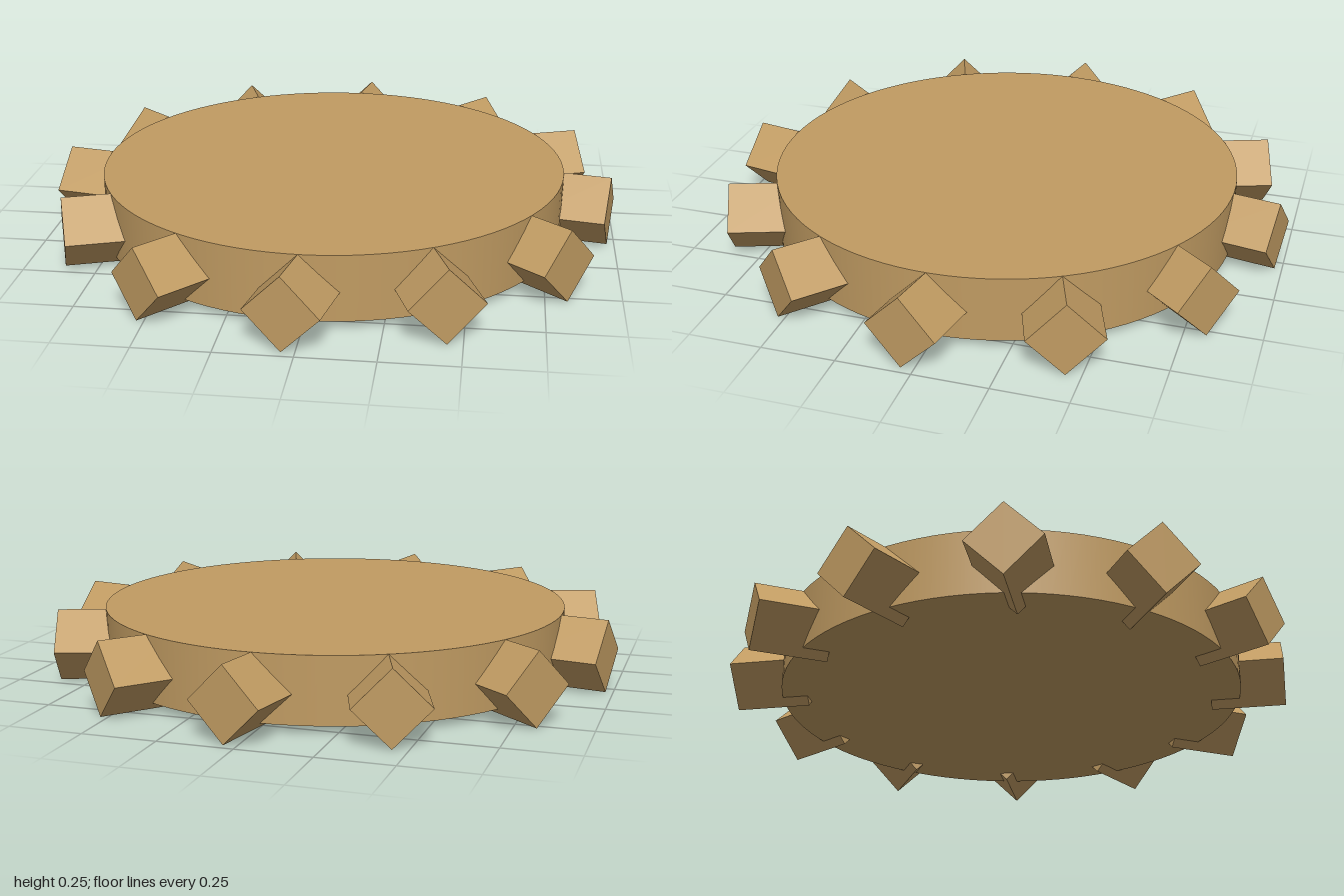
import * as THREE from 'three';

export function createModel() {
  const model = new THREE.Group();
  model.name = 'gear';
  const tan = new THREE.MeshStandardMaterial({ color: 0xc09b62 });
  tan.name = 'tan wood';

  // Round body, raised slightly so the teeth reach below it
  const disc = new THREE.Mesh(new THREE.CylinderGeometry(0.812, 0.812, 0.224, 96), tan);
  disc.name = 'disc';
  disc.position.y = 0.138;
  model.add(disc);

  // Twelve square teeth standing on edge, offset sideways from the radius
  const teeth = 12, height = 0.25, inner = 0.705, outer = 0.966;
  const side = height / Math.SQRT2;
  const toothGeometry = new THREE.BoxGeometry(outer - inner, side, side);
  toothGeometry.rotateX(Math.PI / 4);
  toothGeometry.translate((inner + outer) / 2, height / 2, -0.137);
  const skew = THREE.MathUtils.degToRad(10.6);
  for (let i = 0; i < teeth; i++) {
    const tooth = new THREE.Mesh(toothGeometry, tan);
    tooth.name = `tooth${i + 1}`;
    tooth.rotation.y = -(skew + (i * 2 * Math.PI) / teeth);
    model.add(tooth);
  }
  return model;
}
